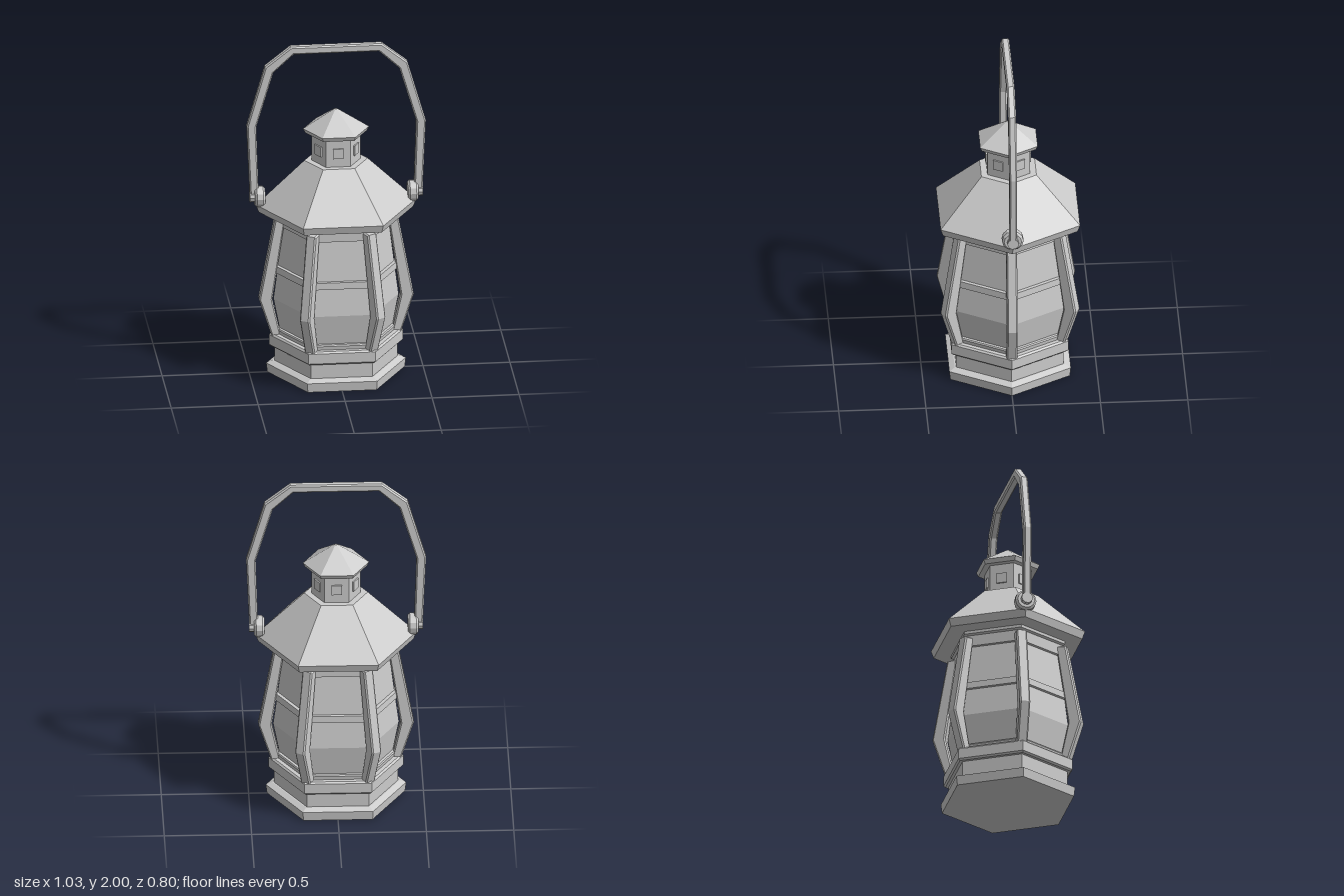
import * as THREE from 'three';

export function createModel() {
  const lantern = new THREE.Group();
  lantern.name = 'lantern';
  const metal = new THREE.MeshStandardMaterial({ color: 0xcccccc, flatShading: true });
  metal.name = 'light grey';

  const add = (name, geometry, parent = lantern) => {
    const mesh = new THREE.Mesh(geometry, metal);
    mesh.name = name;
    parent.add(mesh);
    return mesh;
  };
  // Six-sided solid from [radius, height] pairs, with corners on the x axis
  const hex = (name, profile) => add(name, new THREE.LatheGeometry(
    profile.map(([r, y]) => new THREE.Vector2(r, y)), 6, Math.PI / 6));
  // Flat outline in xy, thickened evenly along z with chamfered edges
  const plate = (points, width, bevel) => {
    const shape = new THREE.Shape(points.map(([x, y]) => new THREE.Vector2(x, y)));
    const depth = width - 2 * bevel;
    return new THREE.ExtrudeGeometry(shape, {
      depth, bevelEnabled: true, bevelThickness: bevel, bevelSize: bevel,
      bevelOffset: -bevel, bevelSegments: 1,
    }).translate(0, 0, -depth / 2);
  };

  // Base
  hex('foot', [[0, 0], [0.395, 0], [0.402, 0.055], [0.365, 0.07], [0, 0.07]]);
  hex('baseBody', [[0.355, 0.06], [0.355, 0.17]]);
  hex('baseRim', [[0, 0.16], [0.375, 0.16], [0.386, 0.17], [0.386, 0.23],
    [0.375, 0.24], [0, 0.24]]);

  // Glass body and its bands
  hex('glass', [[0.318, 0.23], [0.36, 0.45], [0.298, 0.94]]);
  hex('lowerBand', [[0.345, 0.23], [0.35, 0.262], [0.345, 0.27], [0.31, 0.27]]);
  hex('middleBand', [[0.32, 0.615], [0.361, 0.615], [0.358, 0.655], [0.32, 0.655]]);
  hex('upperBand', [[0.28, 0.895], [0.325, 0.895], [0.325, 0.96], [0.28, 0.97]]);
  hex('neck', [[0.3, 0.955], [0.34, 0.968], [0.34, 0.99]]);

  // Corner posts
  const postGeometry = plate([[0.32, 0.235], [0.372, 0.228], [0.445, 0.455],
    [0.355, 0.943], [0.295, 0.948], [0.368, 0.455]], 0.062, 0.008);
  for (let i = 0; i < 6; i++) {
    add('cornerPost', postGeometry).rotation.y = i * Math.PI / 3;
  }

  // Roof, chimney and cap
  hex('roof', [[0, 0.985], [0.445, 0.985], [0.461, 1.03], [0.182, 1.293], [0, 1.293]]);
  hex('chimney', [[0.141, 1.28], [0.141, 1.475]]);
  hex('chimneyCap', [[0, 1.463], [0.178, 1.463], [0.19, 1.488], [0.008, 1.605], [0, 1.605]]);
  const ventGeometry = new THREE.BoxGeometry(0.06, 0.06, 0.02).translate(0, 1.375, 0.121);
  for (let i = 0; i < 6; i++) {
    add('chimneyVent', ventGeometry).rotation.y = i * Math.PI / 3;
  }

  // Carrying handle
  const half = [[0.445, 1.06], [0.46, 1.515], [0.362, 1.845], [0.245, 1.953]];
  const outer = [[0.262, 2], [0.41, 1.883], [0.515, 1.52], [0.495, 1.06]];
  const mirror = (points) => points.map(([x, y]) => [-x, y]).reverse();
  add('handle', plate([...half, ...mirror(half), ...mirror(outer), ...outer], 0.045, 0.008));

  // Handle pivots: chamfered disc and pin on each side
  const discProfile = [[0, -0.03], [0.05, -0.03], [0.062, -0.018], [0.062, 0.018],
    [0.05, 0.03], [0, 0.03]].map(([r, y]) => new THREE.Vector2(r, y));
  const discGeometry = new THREE.LatheGeometry(discProfile, 12).rotateZ(Math.PI / 2);
  const pinGeometry = new THREE.CylinderGeometry(0.033, 0.033, 0.08, 10).rotateZ(Math.PI / 2);
  for (const side of [-1, 1]) {
    const pivot = new THREE.Group();
    pivot.name = side > 0 ? 'leftPivot' : 'rightPivot';
    pivot.position.set(side * 0.44, 1.083, 0);
    add('pivotDisc', discGeometry, pivot);
    add('pivotPin', pinGeometry, pivot).position.x = side * 0.018;
    lantern.add(pivot);
  }
  return lantern;
}
